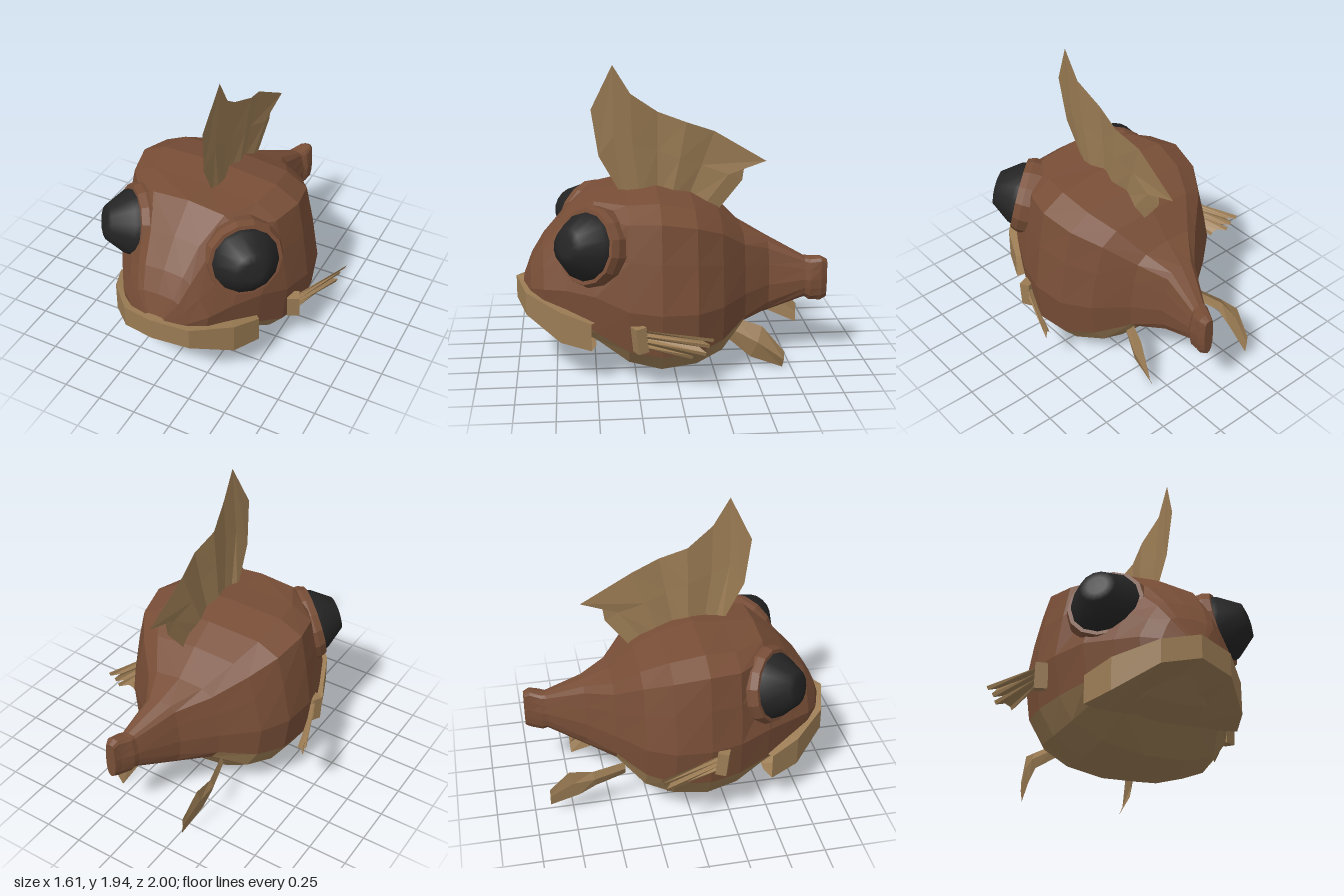
import * as THREE from 'three';

const mat = (name, color, side = THREE.FrontSide, flatShading = true) => {
  const m = new THREE.MeshStandardMaterial({ color, side, flatShading });
  m.name = name;
  return m;
};

// Surface through rows of points; all rows have the same length.
function grid(rows, capEnds = false) {
  const pos = [], tri = (a, b, c) => pos.push(...a, ...b, ...c);
  for (let i = 0; i < rows.length - 1; i++) {
    for (let j = 0; j < rows[i].length - 1; j++) {
      const a = rows[i][j], b = rows[i][j + 1], c = rows[i + 1][j + 1], d = rows[i + 1][j];
      tri(a, d, c);
      tri(a, c, b);
    }
  }
  if (capEnds) {
    const first = rows[0], last = rows[rows.length - 1];
    for (let j = 1; j < first.length - 1; j++) {
      tri(first[0], first[j], first[j + 1]);
      tri(last[0], last[j + 1], last[j]);
    }
  }
  const g = new THREE.BufferGeometry();
  g.setAttribute('position', new THREE.Float32BufferAttribute(pos, 3));
  g.computeVertexNormals();
  return g;
}

export function createModel() {
  const model = new THREE.Group();
  model.name = 'fish';
  const brown = mat('brown skin', 0x784e37);
  const tan = mat('tan belly', 0x9b7c54, THREE.DoubleSide);
  const black = mat('black eye', 0x242424, THREE.FrontSide, false);
  const add = (name, geometry, material, parent = model) => {
    const m = new THREE.Mesh(geometry, material);
    m.name = name;
    parent.add(m);
    return m;
  };

  // Body sections: z, centre x, half width, shoulder half width, top, seam, bottom
  const sections = [
    [0.95, 0, 0.08, 0.06, 0.58, 0.5, 0.45],
    [0.9, 0, 0.2, 0.14, 0.71, 0.48, 0.4],
    [0.82, 0, 0.3, 0.18, 0.84, 0.46, 0.35],
    [0.68, 0, 0.39, 0.23, 1.0, 0.42, 0.27],
    [0.5, 0, 0.5, 0.34, 1.15, 0.37, 0.22],
    [0.3, 0, 0.59, 0.5, 1.16, 0.3, 0.08],
    [0.1, 0.005, 0.635, 0.55, 1.18, 0.28, 0.03],
    [-0.12, 0.005, 0.61, 0.51, 1.13, 0.29, 0.06],
    [-0.29, 0, 0.5, 0.4, 1.04, 0.32, 0.11],
    [-0.45, 0.01, 0.3, 0.24, 0.89, 0.38, 0.29],
    [-0.62, 0.04, 0.15, 0.11, 0.81, 0.42, 0.32],
    [-0.86, 0.11, 0.075, 0.05, 0.69, 0.5, 0.42],
    [-0.89, 0.125, 0.08, 0.06, 0.69, 0.5, 0.4],
    [-0.96, 0.15, 0.055, 0.045, 0.7, 0.5, 0.4],
    [-1.0, 0.15, 0.035, 0.03, 0.68, 0.5, 0.42],
  ];
  // The trunk leans a little to its left behind the jaw
  const lean = (z, x, k) => -x * k * THREE.MathUtils.clamp((0.7 - z) / 0.4, 0, 1);
  const upper = ([z, cx, w, wt, top, seam]) => {
    const half = [[w * 0.95, 0], [w, 0.3], [(w + wt) / 2, 0.63], [wt, 0.88], [wt * 0.72, 0.97]];
    const pt = (s) => ([x, v]) =>
      [cx + s * x, seam + v * (top - seam) + lean(z, s * x, 0.1 - 0.06 * v), z];
    return [...half.map(pt(1)), [cx, top, z], ...half.slice().reverse().map(pt(-1))];
  };
  const lower = ([z, cx, w, , , seam, bot]) =>
    [[-0.95, 0], [-0.8, 0.54], [-0.48, 0.88], [0, 1], [0.48, 0.88], [0.8, 0.54], [0.95, 0]]
      .map(([u, v]) => [cx + u * w, seam + v * (bot - seam) + lean(z, u * w, 0.1 - 0.04 * v), z]);
  const ring = (s) => [...upper(s), ...lower(s).slice(1)];
  add('back', grid(sections.slice(0, 10).map(upper)), brown);
  add('belly', grid(sections.slice(0, 10).map(lower)), tan);
  add('tail', grid(sections.slice(9).map(ring), true), brown);

  // Wide lip band with the flat underside of the jaw: x, z, top, bottom
  const lipHalf = [[0.505, 0.53, 0.41, 0.235], [0.425, 0.72, 0.465, 0.265], [0.225, 0.935, 0.53, 0.385]];
  const lipPath = [
    ...lipHalf, [0, 1, 0.575, 0.43],
    ...lipHalf.slice().reverse().map(([x, ...r]) => [-x, ...r]),
  ];
  add('lowerLip', grid(lipPath.map(([x, z, top, bot]) => [
    [x * 0.82, top, z - 0.07], [x, top, z], [x, bot, z], [x * 0.8, 0.235, 0.5],
  ])), tan);

  // Eyes: sloping socket ring and a bulging, blunt eyeball
  const socket = [[0.25, -0.14], [0.253, -0.03], [0.235, 0.015], [0.19, 0.015]];
  const ball = [[0.215, 0], [0.202, 0.045], [0.11, 0.17], [0.06, 0.18], [0, 0.18]];
  const lathe = (p, n) => new THREE.LatheGeometry(p.map(([x, y]) => new THREE.Vector2(x, y)), n);
  for (const [side, name] of [[1, 'leftEye'], [-1, 'rightEye']]) {
    const eye = new THREE.Group();
    eye.name = name;
    eye.position.set(side * 0.395 + 0.015, 0.88, 0.55);
    eye.quaternion.setFromUnitVectors(
      new THREE.Vector3(0, 1, 0), new THREE.Vector3(side * 0.66, 0.22, 0.7).normalize());
    add('eyeSocket', lathe(socket, 14), brown, eye);
    add('eyeball', lathe(ball, 14), black, eye);
    model.add(eye);
  }

  // Dorsal fin: rippled sheet, each column listed as z, y from base to edge
  const dorsal = [
    [[0.31, 1.1], [0.46, 1.37], [0.505, 1.67]],
    [[0.27, 1.1], [0.37, 1.5], [0.37, 1.95]],
    [[0.2, 1.1], [0.25, 1.45], [0.26, 1.77]],
    [[0.09, 1.1], [0.09, 1.4], [0.09, 1.65]],
    [[0.0, 1.1], [-0.05, 1.35], [-0.09, 1.585]],
    [[-0.1, 1.07], [-0.19, 1.3], [-0.27, 1.52]],
    [[-0.2, 1.03], [-0.36, 1.24], [-0.6, 1.325]],
    [[-0.28, 0.98], [-0.45, 1.2], [-0.46, 1.28]],
  ];
  const ripple = [-0.01, 0.012, 0.018, -0.012, 0.016, -0.012, 0.014, 0.004];
  add('dorsalFin', grid(dorsal.map((col, i) => col.map(([z, y]) =>
    [0.105 + (y - 1.5) * 0.07 + ripple[i], y, z]))), tan);

  // Side fins: a root block and four pleated fingers
  const tips = [[0.8, 0.41, -0.19], [0.77, 0.36, -0.17], [0.76, 0.305, -0.15], [0.68, 0.255, -0.08]];
  for (const [side, name] of [[1, 'leftSideFin'], [-1, 'rightSideFin']]) {
    const fin = new THREE.Group();
    fin.name = name;
    if (side < 0) fin.position.set(-0.01, 0.17, -0.07);
    const block = add('finRoot', new THREE.BoxGeometry(0.08, 0.16, 0.07), tan, fin);
    block.position.set(side * 0.61, 0.345, 0.24);
    block.rotation.set(0.1, side * 0.4, 0);
    const rows = [];
    tips.forEach(([x, y, z], i) => {
      const y0 = 0.41 - i * 0.035;
      rows.push([[side * 0.63, y0, 0.23], [side * x, y, z]]);
      rows.push([[side * 0.62, y0 - 0.01, 0.23], [side * (x - 0.01), y - 0.025, z + 0.005]]);
      if (i < 3) rows.push([[side * 0.6, y0 - 0.025, 0.22], [side * (x - 0.05), y - 0.03, z + 0.06]]);
    });
    add('finFingers', grid(rows), tan, fin);
    model.add(fin);
  }

  // Lower fins trailing under the belly, the right one swept further back
  add('leftLowerFin', grid([
    [[0.25, 0.34, -0.37], [0.28, 0.27, -0.36], [0.25, 0.2, -0.34]],
    [[0.31, 0.29, -0.56], [0.34, 0.19, -0.53], [0.3, 0.08, -0.49]],
    [[0.36, 0.13, -0.7], [0.35, 0.07, -0.7], [0.32, 0.01, -0.695]],
  ]), tan);
  add('rightLowerFin', grid([
    [[-0.27, 0.33, -0.4], [-0.29, 0.29, -0.4], [-0.27, 0.24, -0.4]],
    [[-0.33, 0.33, -0.62], [-0.35, 0.28, -0.61], [-0.33, 0.22, -0.6]],
    [[-0.33, 0.35, -0.77], [-0.34, 0.26, -0.75], [-0.33, 0.16, -0.71]],
    [[-0.31, 0.21, -0.9], [-0.31, 0.15, -0.9], [-0.3, 0.08, -0.9]],
  ]), tan);

  return model;
}
